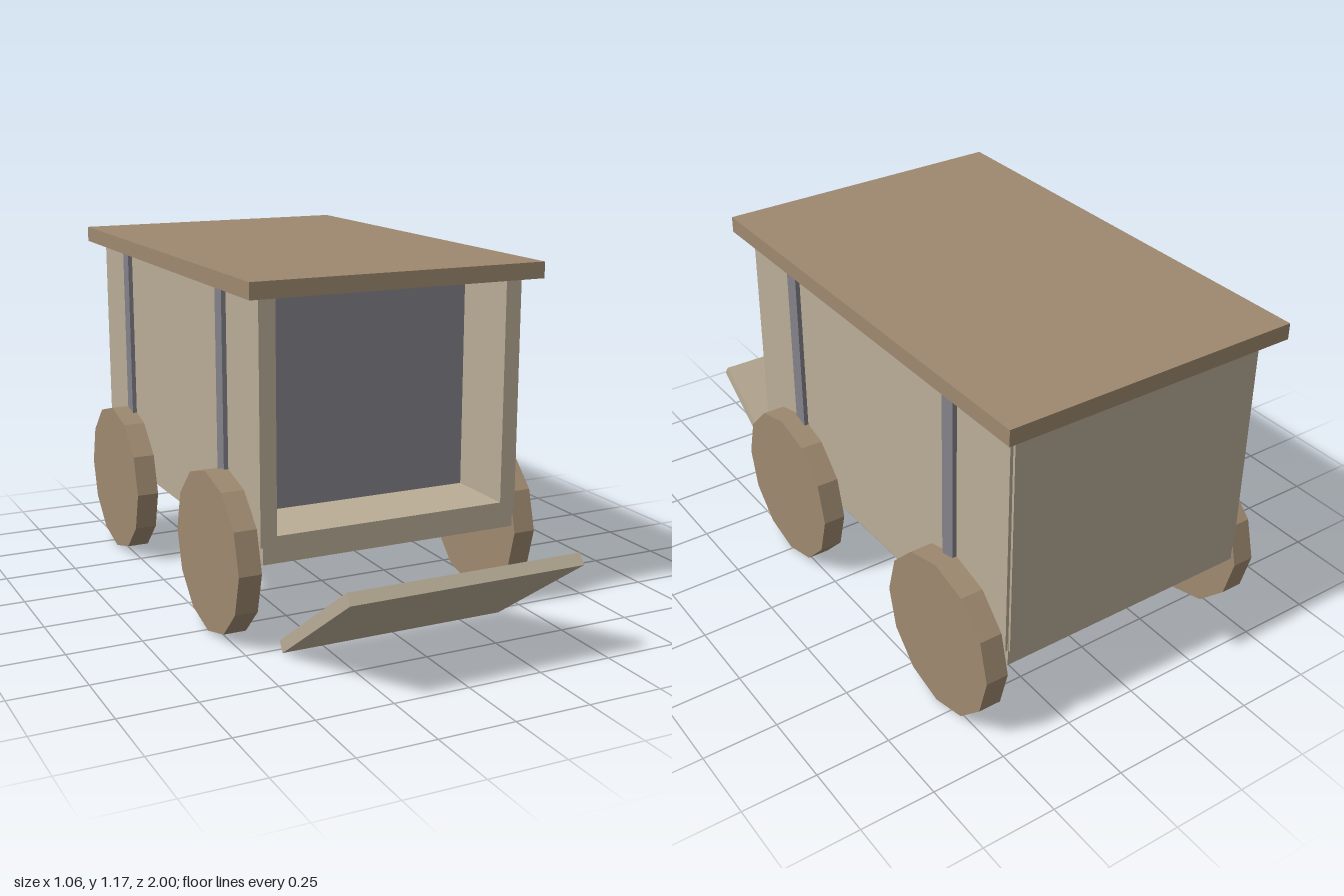
import * as THREE from 'three';

export function createModel() {
  const model = new THREE.Group();
  model.name = 'cart';

  const material = (name, color) => {
    const m = new THREE.MeshStandardMaterial({ color });
    m.name = name;
    return m;
  };
  const paleWood = material('pale wood', 0xbaad97);
  const brownWood = material('brown wood', 0x9e896f);
  const ironGrey = material('iron grey', 0x83828a);

  const add = (name, geometry, mat) => {
    const mesh = new THREE.Mesh(geometry, mat);
    mesh.name = name;
    model.add(mesh);
    return mesh;
  };

  // Box given by its lower and upper limits on each axis
  const slab = (name, mat, [x0, x1], [y0, y1], [z0, z1]) => {
    const mesh = add(name, new THREE.BoxGeometry(x1 - x0, y1 - y0, z1 - z0), mat);
    mesh.position.set((x0 + x1) / 2, (y0 + y1) / 2, (z0 + z1) / 2);
    return mesh;
  };

  // Body: floor, back wall and overhanging roof
  slab('floor', paleWood, [-0.447, 0.447], [0.295, 0.382], [-0.94, 0.52]);
  slab('backWall', paleWood, [-0.445, 0.445], [0.35, 1.122], [-0.947, -0.89]);
  slab('roof', brownWood, [-0.505, 0.505], [1.122, 1.175], [-1, 0.573]);

  // Cross frames: their ends show as posts on the side walls
  for (const z of [0.24, -0.658]) {
    slab('crossFrame', ironGrey, [-0.47, 0.47], [0.352, 1.122], [z - 0.027, z + 0.027]);
  }

  // Side walls and twelve-sided wheels
  const wheelShape = new THREE.CylinderGeometry(0.268, 0.268, 0.076, 12).toNonIndexed();
  wheelShape.computeVertexNormals();
  wheelShape.rotateZ(Math.PI / 2);
  for (const side of [-1, 1]) {
    const wall = slab('sideWall', paleWood, [0.4, 0.455], [0.35, 1.115], [-0.938, 0.52]);
    wall.position.x *= side;
    for (const z of [0.26, -0.685]) {
      add('wheel', wheelShape, brownWood).position.set(side * 0.493, 0.27, z);
    }
  }

  // Tilted ramp in front of the opening
  const ramp = add('ramp', new THREE.BoxGeometry(0.786, 0.04, 0.557), paleWood);
  ramp.position.set(0, 0.18, 0.758);
  ramp.rotation.x = -0.6;

  return model;
}
